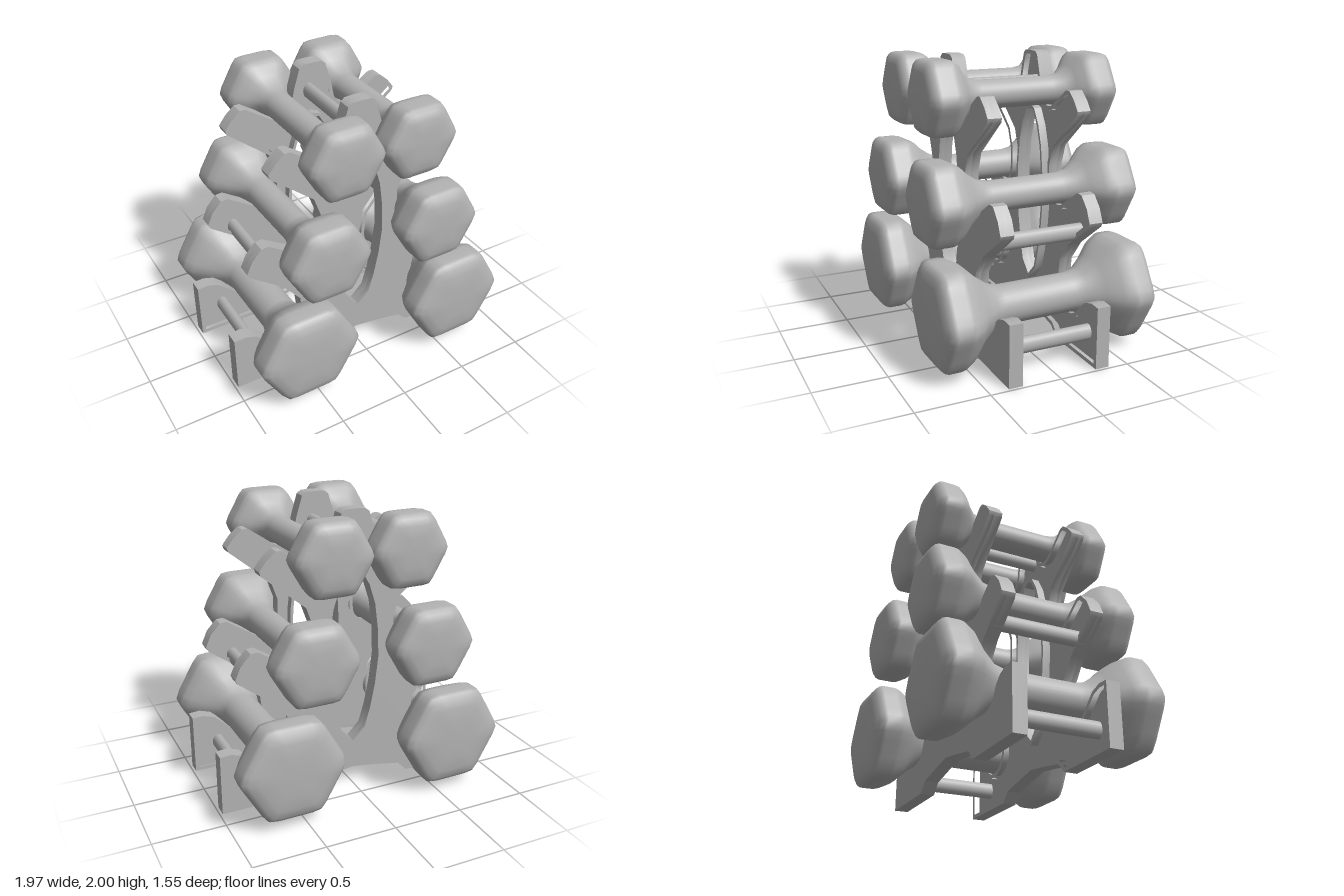
import * as THREE from 'three';
import { mergeVertices, toCreasedNormals } from 'three/addons/utils/BufferGeometryUtils.js';

const grey = new THREE.MeshStandardMaterial({ color: 0xb3b3b3 });
grey.name = 'satin grey';

// Dumbbell sizes per tier: handle radius h, head half height a, half length L, shoulder S
const tiers = [
  { name: 'top', y: 1.753, left: 0.272, right: -0.262, h: 0.097, a: 0.243, L: 0.682, S: 0.48 },
  { name: 'middle', y: 1.102, left: 0.422, right: -0.422, h: 0.107, a: 0.267, L: 0.757, S: 0.55 },
  { name: 'bottom', y: 0.41, left: 0.602, right: -0.587, h: 0.136, a: 0.333, L: 0.775, S: 0.58 },
];

function addMesh(parent, geometry, name) {
  const mesh = new THREE.Mesh(geometry, grey);
  mesh.name = name;
  parent.add(mesh);
  return mesh;
}

// Round handle that swells into soft hexagonal heads
function dumbbellGeometry({ h, a, L, S }) {
  const mix = (t) => h + (a - h) * t;
  const half = [
    [h, 0.26], [mix(0.1), 0.34], [mix(0.45), 0.34 + (S - 0.34) * 0.4], [mix(0.82), 0.34 + (S - 0.34) * 0.72],
    [a * 0.985, S], [a, S + 0.03], [a, L - 0.075], [a * 0.97, L - 0.05], [a * 0.88, L - 0.025],
    [a * 0.7, L - 0.008], [a * 0.4, L - 0.001], [0, L],
  ].map(([r, y]) => new THREE.Vector2(r, y));
  const back = half.map((p) => new THREE.Vector2(p.x, -p.y)).reverse();
  let geo = new THREE.LatheGeometry([...back, ...half], 36);
  const pos = geo.attributes.position;
  for (let i = 0; i < pos.count; i++) {
    const x = pos.getX(i), y = pos.getY(i), z = pos.getZ(i);
    const angle = Math.atan2(x, z), step = Math.PI / 3;
    const hex = Math.min(1 / Math.cos(angle - step * Math.round(angle / step)), 1.12);
    const blend = Math.abs(y) >= S ? 1 : THREE.MathUtils.clamp((Math.hypot(x, z) - h) / (a - h), 0, 1);
    const f = 1 + (hex - 1) * blend;
    pos.setXYZ(i, x * f, y, z * f);
  }
  geo.deleteAttribute('uv');
  geo.deleteAttribute('normal');
  geo = mergeVertices(geo, 1e-5);
  geo.computeVertexNormals();
  return geo.rotateX(Math.PI / 2);
}

// Points of a cradle under a handle, angles in degrees
function cradle(cx, cy, r, from, to) {
  const points = [];
  for (let i = 0; i <= 8; i++) {
    const t = THREE.MathUtils.degToRad(from + (to - from) * i / 8);
    points.push([cx + r * Math.cos(t), cy + r * Math.sin(t)]);
  }
  return points;
}

// Completes a half outline across x = 0
function mirrored(half) {
  const other = half.filter(([x]) => x > 0).map(([x, y]) => [-x, y]).reverse();
  return [...half, ...other].map(([x, y]) => new THREE.Vector2(x, y));
}

// Moves a closed outline inward (or outward for a negative distance)
function offset(points, distance) {
  const n = points.length, sign = THREE.ShapeUtils.area(points) > 0 ? 1 : -1;
  const normal = (p, q) => new THREE.Vector2(p.y - q.y, q.x - p.x).normalize().multiplyScalar(sign);
  return points.map((p, i) => {
    const n1 = normal(points[(i + n - 1) % n], p);
    const n2 = normal(p, points[(i + 1) % n]);
    const bisector = n1.clone().add(n2).normalize();
    return p.clone().addScaledVector(bisector, distance / Math.max(bisector.dot(n1), 0.6));
  });
}

function slab(outer, inner, z, depth) {
  const shape = new THREE.Shape(outer);
  shape.holes.push(new THREE.Path(inner));
  const geo = new THREE.ExtrudeGeometry(shape, { depth, bevelEnabled: false });
  return toCreasedNormals(geo.translate(0, 0, z), 0.6);
}

// Upright with three stepped arms per side, a tall opening and a flange facing inward
function makeUpright() {
  const outline = mirrored([
    [0, 2], [0.07, 1.997], [0.1, 1.975], [0.145, 1.83],
    ...cradle(0.27, 1.75, 0.108, 185, 305),
    [0.51, 1.78], [0.55, 1.78], [0.615, 1.725], [0.665, 1.66], [0.655, 1.63], [0.35, 1.38], [0.3, 1.24],
    ...cradle(0.422, 1.1, 0.118, 180, 305),
    [0.69, 1.13], [0.74, 1.125], [0.81, 1.05], [0.85, 0.96], [0.835, 0.93], [0.59, 0.75], [0.47, 0.6],
    ...cradle(0.6, 0.41, 0.15, 175, 325),
    [0.82, 0.41], [0.9, 0.435], [0.98, 0.43], [0.98, 0], [0.44, 0], [0.37, 0.07], [0.18, 0.105], [0, 0.132],
  ]);
  const opening = mirrored([
    [0, 0.34], [0.09, 0.43], [0.13, 0.57], [0.165, 0.75], [0.188, 0.95], [0.18, 1.15],
    [0.155, 1.34], [0.11, 1.48], [0.05, 1.58], [0, 1.597],
  ]);
  const upright = new THREE.Group();
  addMesh(upright, slab(outline, opening, 0.325, 0.04), 'uprightPanel');
  addMesh(upright, slab(outline, offset(outline, 0.028), 0.268, 0.06), 'outerFlange');
  addMesh(upright, slab(offset(opening, -0.022), opening, 0.268, 0.06), 'openingFlange');
  return upright;
}

export function createModel() {
  const model = new THREE.Group();
  model.name = 'dumbbellRack';

  // Front and back uprights
  const front = makeUpright();
  front.name = 'frontUpright';
  const back = makeUpright();
  back.name = 'backUpright';
  back.rotation.y = Math.PI;
  model.add(front, back);

  // Cross rods joining the uprights
  const rod = new THREE.CylinderGeometry(0.048, 0.048, 0.67, 16).rotateX(Math.PI / 2).scale(0.9, 1.2, 1);
  for (const [x, y] of [[0, 1.77], [0.64, 0.85], [-0.64, 0.85], [0.78, 0.178], [-0.78, 0.178]]) {
    addMesh(model, rod, 'crossRod').position.set(x, y, 0);
  }

  // Three pairs of dumbbells, turned very slightly on their cradles
  for (const tier of tiers) {
    const geo = dumbbellGeometry(tier);
    for (const side of ['left', 'right']) {
      const bell = addMesh(model, geo, `${tier.name}Dumbbell_${side}`);
      bell.position.set(tier[side], tier.y, 0);
      bell.rotation.y = 0.015;
    }
  }
  return model;
}
